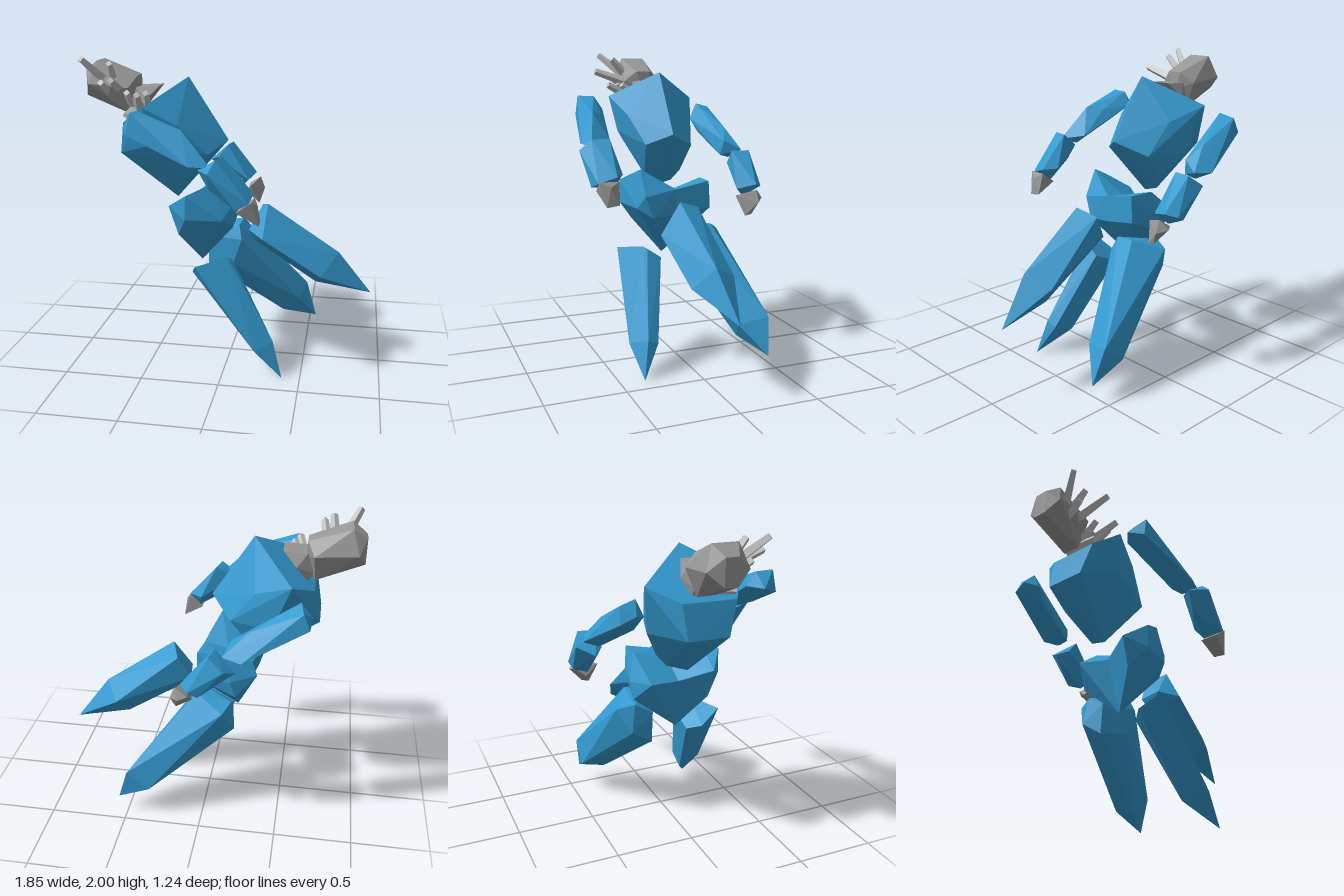
import * as THREE from 'three';
import { ConvexGeometry } from 'three/addons/geometries/ConvexGeometry.js';

const mat = (name, color) => {
  const m = new THREE.MeshStandardMaterial({ color });
  m.name = name;
  return m;
};

export function createModel() {
  const blue = mat('crystal blue', 0x349ad0);
  const gray = mat('stone gray', 0x979797);
  const pale = mat('pale gray', 0xc6c6c6);
  const model = new THREE.Group();
  model.name = 'crystalFigure';

  const add = (name, geometry, material) => {
    const mesh = new THREE.Mesh(geometry, material);
    mesh.name = name;
    model.add(mesh);
    return mesh;
  };
  // Faceted chunk spanned by its corner points
  const facet = (name, material, corners) =>
    add(name, new ConvexGeometry(corners.map((c) => new THREE.Vector3(...c))), material);
  // Corner pair on both sides of the middle plane
  const pair = (x, y, z) => [[x, y, z], [x, y, -z]];

  // Head and neck
  facet('head', gray, [
    ...pair(-0.926, 1.9, 0.04), ...pair(-0.926, 1.74, 0.04), ...pair(-0.84, 1.962, 0.08),
    ...pair(-0.885, 1.82, 0.13), ...pair(-0.63, 1.8, 0.13), ...pair(-0.587, 1.87, 0.05),
    ...pair(-0.64, 1.63, 0.06), ...pair(-0.577, 1.76, 0.02),
  ]);
  facet('neck', gray, [
    ...pair(-0.445, 1.81, 0.07), ...pair(-0.53, 1.72, 0.11), ...pair(-0.6, 1.62, 0.07),
    ...pair(-0.59, 1.8, 0.08), ...pair(-0.63, 1.68, 0.07),
  ]);

  // Tapered square feelers on the face
  const feelers = [
    [[-0.79, 1.84, 0.08], [-0.885, 1.985, 0.24]],
    [[-0.70, 1.79, 0.08], [-0.672, 1.87, 0.33]],
    [[-0.74, 1.84, 0.08], [-0.725, 1.955, 0.19]],
    [[-0.77, 1.77, 0.08], [-0.78, 1.84, 0.2]],
    [[-0.62, 1.68, 0.06], [-0.62, 1.78, 0.19]],
    [[-0.58, 1.68, 0.08], [-0.53, 1.78, 0.28]],
    [[-0.53, 1.70, 0.07], [-0.5, 1.78, 0.19]],
    [[-0.61, 1.66, 0.06], [-0.63, 1.64, 0.19]],
  ];
  for (const [from, to] of feelers) {
    const a = new THREE.Vector3(...from), b = new THREE.Vector3(...to);
    const axis = b.clone().sub(a);
    const rod = new THREE.CylinderGeometry(0.022, 0.034, axis.length(), 4).toNonIndexed();
    rod.computeVertexNormals();
    const mesh = add('feeler', rod, pale);
    mesh.position.copy(a).add(b).multiplyScalar(0.5);
    mesh.quaternion.setFromUnitVectors(new THREE.Vector3(0, 1, 0), axis.normalize());
  }

  // Torso
  facet('torso', blue, [
    [-0.27, 1.865, 0], [-0.016, 1.47, 0],
    [-0.52, 1.685, -0.325], [-0.5, 1.705, 0.285],
    [-0.65, 1.595, 0.19], [-0.645, 1.6, -0.15], ...pair(-0.69, 1.39, 0.13),
    [-0.41, 1.37, 0.19], [-0.45, 1.47, 0.24], [-0.41, 1.38, -0.265], ...pair(-0.3, 1.59, 0.22),
    [-0.12, 1.4, 0.15], [-0.15, 1.38, -0.18],
    [-0.345, 1.09, 0.03], [-0.32, 1.13, -0.1], [-0.3, 1.2, 0.1], [-0.3, 1.2, -0.16],
  ]);

  // Pelvis: two hip lobes that narrow to a shared waist section
  const waist = [[-0.28, 1.0, 0], [-0.12, 1.09, 0], [0.035, 1.12, 0], [0.035, 0.95, 0], [-0.19, 0.66, 0.02]];
  facet('leftHip', blue, [
    [-0.37, 1.07, 0.2], [-0.05, 1.25, 0.215], [0.035, 1.08, 0.21], [0.04, 0.94, 0.16],
    [-0.24, 1.165, 0.295], [-0.245, 1.01, 0.295], [-0.02, 1.0, 0.25], [-0.31, 0.88, 0.19],
    ...waist,
  ]);
  facet('rightHip', blue, [
    [-0.33, 1.02, -0.2], [-0.125, 1.165, -0.235], [0.045, 1.165, -0.225], [0.045, 0.99, -0.235],
    [-0.17, 1.0, -0.28], [-0.2, 0.89, -0.27], ...waist,
  ]);

  // Left arm
  facet('leftUpperArm', blue, [
    [-0.49, 1.62, 0.335], [-0.5, 1.705, 0.39], [-0.51, 1.71, 0.5], [-0.58, 1.615, 0.41],
    [-0.54, 1.58, 0.51], [-0.44, 1.525, 0.45], [-0.215, 1.615, 0.48], [-0.3, 1.6, 0.4],
    [-0.03, 1.41, 0.54], [-0.12, 1.44, 0.395], [-0.155, 1.42, 0.58], [-0.105, 1.385, 0.46],
  ]);
  facet('leftForearm', blue, [
    [0, 1.46, 0.55], [0.025, 1.46, 0.44], [-0.035, 1.39, 0.62], [-0.11, 1.39, 0.52],
    [-0.1, 1.37, 0.47], [-0.05, 1.27, 0.5], [0.125, 1.25, 0.39], [0.21, 1.245, 0.45],
    [0.195, 1.21, 0.565], [0.12, 1.18, 0.59], [0.14, 1.17, 0.45],
  ]);
  facet('leftHand', gray, [
    [0.21, 1.22, 0.565], [0.215, 1.22, 0.44], [0.12, 1.155, 0.56], [0.125, 1.155, 0.44],
    [0.25, 1.07, 0.53], [0.25, 1.08, 0.45], [0.24, 1.19, 0.5],
  ]);

  // Right arm
  facet('rightUpperArm', blue, [
    [-0.58, 1.64, -0.4], [-0.6, 1.615, -0.5], [-0.65, 1.56, -0.42], [-0.64, 1.52, -0.51],
    [-0.58, 1.535, -0.35], [-0.5, 1.44, -0.38], [-0.3, 1.48, -0.5], [-0.2, 1.4, -0.45],
    [-0.22, 1.3, -0.43], [-0.155, 1.34, -0.56], [-0.27, 1.33, -0.605], [-0.24, 1.28, -0.5],
  ]);
  facet('rightForearm', blue, [
    [-0.1, 1.34, -0.46], [-0.08, 1.34, -0.58], [-0.17, 1.27, -0.62], [-0.23, 1.22, -0.52],
    [-0.17, 1.25, -0.46], [0.04, 1.11, -0.612], [0.095, 1.13, -0.55], [0.05, 1.1, -0.43],
    [0, 1.04, -0.5], [-0.02, 1.08, -0.6],
  ]);
  facet('rightHand', gray, [
    [0.07, 1.06, -0.41], [0.125, 1.1, -0.54], [0.1, 1.04, -0.59], [0.03, 1.0, -0.5],
    [0.125, 0.93, -0.455], [0.155, 1.02, -0.54], [0.05, 1.05, -0.56], [0.13, 0.94, -0.5],
  ]);

  // Three pointed legs
  facet('middleLeg', blue, [
    [0.25, 1.075, 0.06], [0.2, 1.03, -0.08], [0.12, 0.875, -0.05], [0.13, 0.9, 0.08],
    [0.15, 0.81, 0], [0.23, 0.87, 0.18], [0.71, 0.76, 0.02], [0.62, 0.68, -0.135],
    [0.6, 0.62, 0.13], [0.565, 0.54, 0], [0.925, 0.475, -0.03],
  ]);
  facet('leftLeg', blue, [
    [-0.22, 0.635, 0.2], [-0.175, 0.72, 0.34], [0.01, 0.755, 0.22], [0.03, 0.74, 0.2],
    [0.04, 0.68, 0.11], [-0.15, 0.6, 0.12], [0.215, 0.19, 0.39], [0.32, 0.23, 0.3],
    [0.31, 0.2, 0.23], [0.17, 0.15, 0.22], [0.385, 0, 0.345],
  ]);
  facet('rightLeg', blue, [
    [0.05, 0.88, -0.24], [0.04, 0.87, -0.1], [-0.175, 0.84, -0.25], [-0.13, 0.81, -0.36],
    [-0.2, 0.66, -0.28], [-0.175, 0.77, -0.13], [-0.18, 0.57, -0.14], [0.06, 0.78, -0.06],
    [0, 0.6, -0.08], [0.485, 0.345, -0.45], [0.34, 0.23, -0.455], [0.44, 0.3, -0.26],
    [0.33, 0.19, -0.3], [0.555, 0.115, -0.415],
  ]);

  return model;
}
